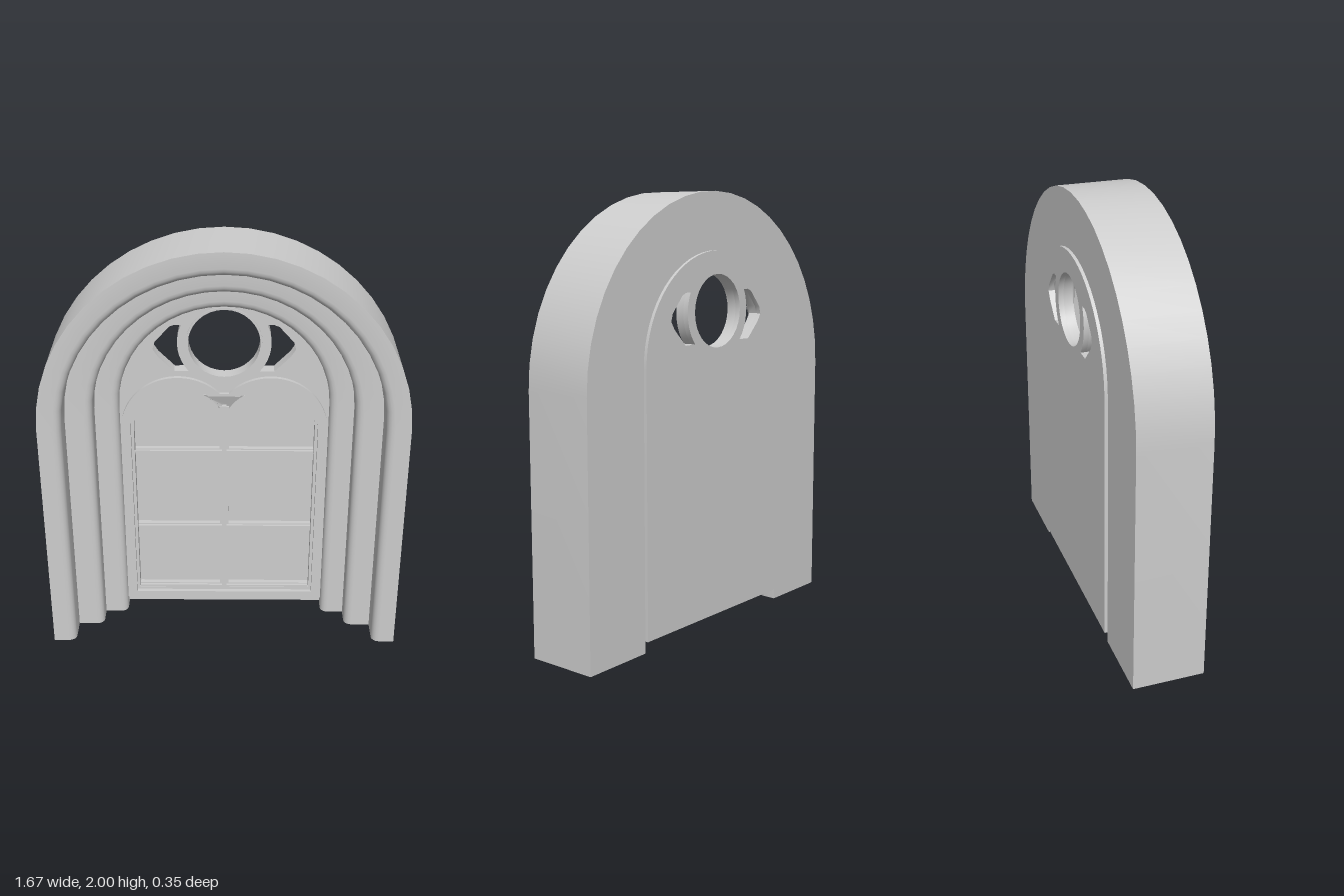
import * as THREE from 'three';
import { toCreasedNormals } from 'three/addons/utils/BufferGeometryUtils.js';

const stone = new THREE.MeshStandardMaterial({ color: 0xcccccc });
stone.name = 'stone';

const SPRING = 1.165;                    // height where the big arch begins
const LIGHT = { x: 0.215, y: 1.035, r: 0.212, bottom: 0.12, cusp: 1.21 };
const ROSE_Y = 1.47;
const BACK = -0.175, PANE = -0.15, FIELD = -0.11, SURROUND = -0.09;

export function createModel() {
  const group = new THREE.Group();
  group.name = 'archedWindow';

  const add = (name, geometry, parent = group) => {
    const mesh = new THREE.Mesh(geometry, stone);
    mesh.name = name;
    parent.add(mesh);
    return mesh;
  };
  const slab = (shape, z0, z1) => {
    const g = new THREE.ExtrudeGeometry(shape, { depth: z1 - z0, bevelEnabled: false, curveSegments: 16 });
    g.translate(0, 0, z0);
    return toCreasedNormals(g, 0.5);
  };

  // Stepped archivolt: a moulded section swept up one jamb, over and down
  const profile = [[0.835, -0.16], [0.835, 0.175]];
  const steps = [[0.727, 0.175, 0.04], [0.602, 0.04, -0.065], [0.49, -0.065, -0.16]];
  for (const [r, front, back] of steps) {
    const q = 0.035;
    for (let i = 0; i <= 4; i++) {
      const a = (i / 4) * Math.PI / 2;
      profile.push([r + q - q * Math.sin(a), front - q + q * Math.cos(a)]);
    }
    profile.push([r, back]);
  }
  const ARC = 24;
  const stations = [(r) => [r, 0]];
  for (let i = 0; i <= ARC; i++) {
    const a = (i / ARC) * Math.PI;
    stations.push((r) => [r * Math.cos(a), SPRING + r * Math.sin(a)]);
  }
  stations.push((r) => [-r, 0]);
  const position = [], index = [], n = profile.length;
  for (const place of stations) for (const [r, z] of profile) position.push(...place(r), z);
  for (let i = 0; i < stations.length - 1; i++) {
    for (let j = 0; j < n; j++) {
      const k = (j + 1) % n;
      const a = i * n + j, b = i * n + k, c = b + n, d = a + n;
      index.push(a, d, c, a, c, b);
    }
  }
  const sweep = new THREE.BufferGeometry();
  sweep.setAttribute('position', new THREE.Float32BufferAttribute(position, 3));
  sweep.setIndex(index);
  add('archFrame', toCreasedNormals(sweep, 0.55));

  // Undersides of the jambs
  for (const s of [1, -1]) {
    const foot = new THREE.Shape(profile.map(([r, z]) => new THREE.Vector2(s * r, z)));
    add(s > 0 ? 'leftFoot' : 'rightFoot', new THREE.ShapeGeometry(foot).rotateX(Math.PI / 2));
  }

  // Tracery openings: a round rose and a curved slot on each side
  const roseHoles = () => {
    const rose = new THREE.Path();
    rose.absarc(0, ROSE_Y, 0.165, 0, Math.PI * 2, true);
    const slots = [1, -1].map((s) => {
      const pts = [[0.23, 1.33], [0.305, 1.405], [0.327, 1.44], [0.317, 1.475], [0.25, 1.55], [0.225, 1.56]]
        .map(([x, y]) => new THREE.Vector2(s * x, y));
      for (let i = 0; i <= 8; i++) {
        const a = 0.43 - i * 0.142;
        pts.push(new THREE.Vector2(s * 0.215 * Math.cos(a), ROSE_Y + 0.215 * Math.sin(a)));
      }
      return new THREE.Path(pts);
    });
    return [rose, ...slots];
  };

  // Twin arched lights as one opening, widened by o
  const lightsHole = (o) => {
    const r = LIGHT.r + o, a = Math.asin((LIGHT.cusp - LIGHT.y) / r);
    const p = new THREE.Path();
    p.moveTo(-LIGHT.x - r, LIGHT.bottom - o);
    p.lineTo(-LIGHT.x - r, LIGHT.y);
    p.absarc(-LIGHT.x, LIGHT.y, r, Math.PI, a, true);
    p.absarc(LIGHT.x, LIGHT.y, r, Math.PI - a, 0, true);
    p.lineTo(LIGHT.x + r, LIGHT.bottom - o);
    p.closePath();
    return p;
  };

  const archPanel = (w) => {
    const s = new THREE.Shape();
    s.moveTo(-w, 0.055);
    s.lineTo(w, 0.055);
    s.lineTo(w, 1.25);
    s.absarc(0, 1.25, w, 0, Math.PI, false);
    s.closePath();
    return s;
  };

  // Back panel with the panes, and the pierced field in front of it
  const backing = archPanel(0.49);
  backing.holes = roseHoles();
  add('panePanel', slab(backing, BACK, PANE));

  const field = archPanel(0.495);
  field.holes = [...roseHoles(), lightsHole(0)];
  add('traceryPanel', slab(field, PANE, FIELD));

  // Raised surround with a double-arched top
  const R = 0.27, cut = Math.acos(LIGHT.x / R);
  const outline = new THREE.Shape();
  outline.moveTo(-LIGHT.x - R, 0.055);
  outline.lineTo(LIGHT.x + R, 0.055);
  outline.lineTo(LIGHT.x + R, LIGHT.y);
  outline.absarc(LIGHT.x, LIGHT.y, R, 0, Math.PI - cut - 0.12, false);
  outline.absarc(-LIGHT.x, LIGHT.y, R, cut + 0.12, Math.PI, false);
  outline.closePath();
  outline.holes = [lightsHole(0.014)];
  add('lightSurround', slab(outline, FIELD, SURROUND));

  // Thin rim around the rose
  const rim = new THREE.Shape();
  rim.absarc(0, ROSE_Y, 0.175, 0, Math.PI * 2, false);
  rim.holes = [roseHoles()[0]];
  add('roseRim', slab(rim, FIELD, FIELD + 0.006));

  // Corbel between the lights, sloping back towards the mullion
  const top = Math.asin((LIGHT.cusp - LIGHT.y) / LIGHT.r), low = 0.26;
  const cusp = new THREE.Shape();
  cusp.absarc(-LIGHT.x, LIGHT.y, LIGHT.r, top, low, true);
  cusp.absarc(LIGHT.x, LIGHT.y, LIGHT.r, Math.PI - low, Math.PI - top, true);
  cusp.closePath();
  const corbel = new THREE.ExtrudeGeometry(cusp, { depth: 1, bevelEnabled: false, curveSegments: 12 });
  const p = corbel.attributes.position;
  for (let i = 0; i < p.count; i++) {
    const t = THREE.MathUtils.clamp((p.getY(i) - 1.13) / 0.08, 0, 1);
    p.setZ(i, p.getZ(i) > 0.5 ? THREE.MathUtils.lerp(-0.135, FIELD + 0.005, t) : PANE);
  }
  add('corbel', toCreasedNormals(corbel, 0.5));

  // Mullion and glazing bars, each a wide strip with a narrower one on top
  const bars = new THREE.Group();
  bars.name = 'glazingBars';
  group.add(bars);
  const bar = (name, w, h, x, y, front) => {
    const depth = front - PANE;
    add(name, new THREE.BoxGeometry(w, h, depth).translate(x, y, PANE + depth / 2), bars);
  };
  bar('mullion', 0.044, 1.03, 0, 0.625, -0.125);
  bar('mullionRib', 0.022, 1.04, 0, 0.63, -0.108);
  for (const s of [1, -1]) {
    for (const y of [0.125, 0.483, 0.905]) {
      bar('crossBar', 0.415, 0.022, s * 0.218, y, -0.125);
      bar('crossBarRib', 0.415, 0.011, s * 0.218, y, -0.112);
    }
  }
  return group;
}
